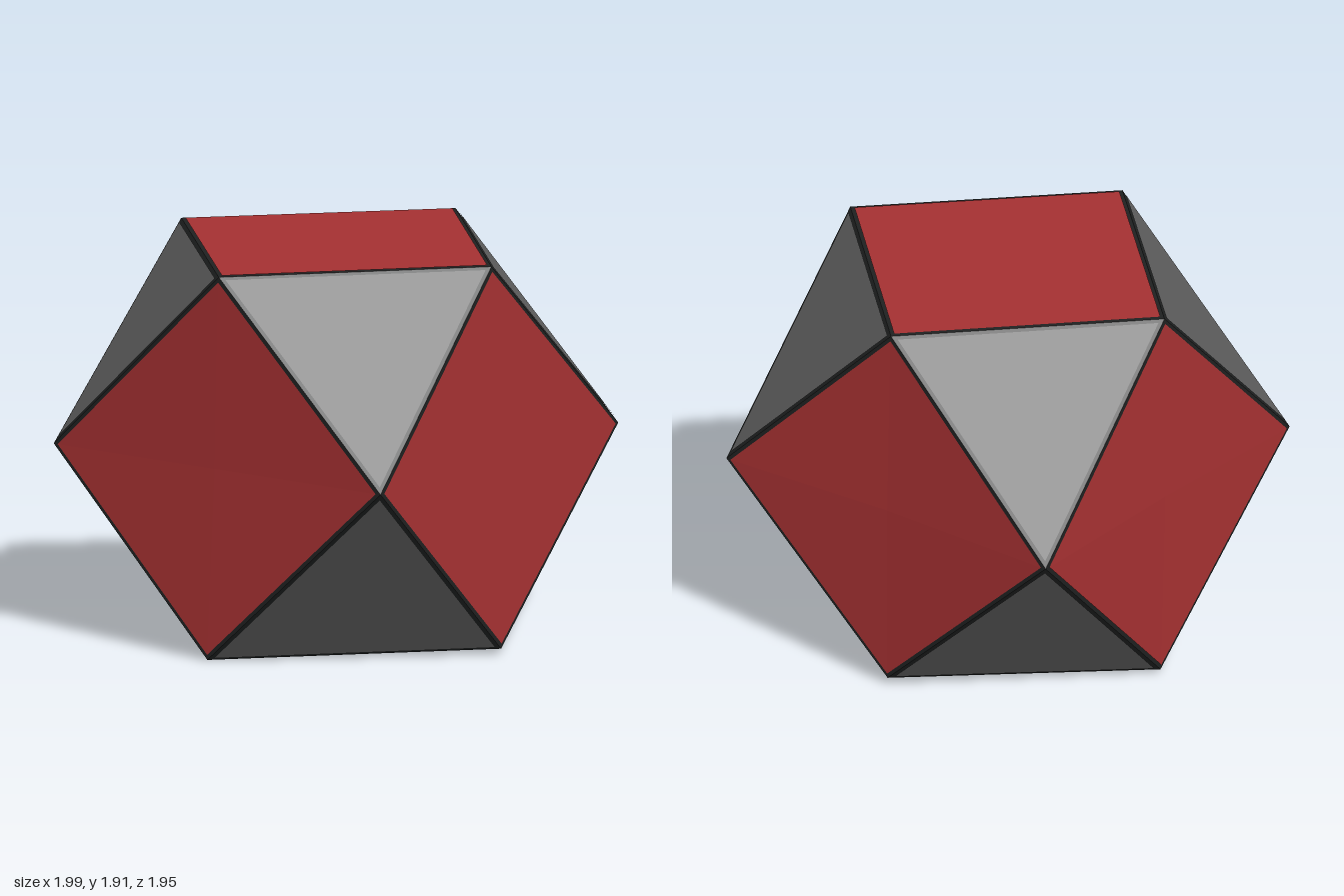
import * as THREE from 'three';

// Slightly irregular cuboctahedron corners, keyed by the signs of x, y, z
const CORNERS = {
  '-1,1,0': [-0.93, 1.9, 0.03], '1,1,0': [0.95, 1.91, 0.03],
  '-1,-1,0': [-0.95, 0.02, -0.03], '1,-1,0': [0.985, 0.03, 0],
  '-1,0,1': [-1, 0.94, 0.945], '1,0,1': [0.98, 0.95, 0.945],
  '-1,0,-1': [-0.93, 0.95, -0.93], '1,0,-1': [0.95, 0.97, -0.97],
  '0,1,1': [0.015, 1.895, 0.965], '0,1,-1': [0.01, 1.91, -0.91],
  '0,-1,1': [-0.05, 0.005, 0.97], '0,-1,-1': [0.03, 0.04, -0.91],
};
const corner = (signs) => new THREE.Vector3(...CORNERS[signs.join(',')]);

// Six four-sided faces, one per axis direction, wound counter-clockwise from outside
function squareFaces() {
  const faces = [];
  for (let axis = 0; axis < 3; axis++) {
    for (const side of [1, -1]) {
      const face = [[1, 0], [0, 1], [-1, 0], [0, -1]].map(([b, c]) => {
        const signs = [0, 0, 0];
        signs[axis] = side;
        signs[(axis + 1) % 3] = b;
        signs[(axis + 2) % 3] = c;
        return corner(signs);
      });
      faces.push(side > 0 ? face : face.reverse());
    }
  }
  return faces;
}

// Eight triangular faces, one per octant
function triangleFaces() {
  const faces = [];
  for (const x of [1, -1]) for (const y of [1, -1]) for (const z of [1, -1]) {
    const face = [corner([x, y, 0]), corner([0, y, z]), corner([x, 0, z])];
    faces.push(x * y * z > 0 ? face : face.reverse());
  }
  return faces;
}

// Fans of triangles around each face centre, shrunk and lifted off the body
function faceGeometry(faces, shrink = 1, lift = 0) {
  const points = [];
  for (const face of faces) {
    const centre = new THREE.Vector3();
    face.forEach((p) => centre.addScaledVector(p, 1 / face.length));
    const normal = new THREE.Vector3();
    face.forEach((p, i) => {
      const next = face[(i + 1) % face.length];
      normal.add(p.clone().sub(centre).cross(next.clone().sub(centre)));
    });
    normal.normalize();
    const place = (p) => centre.clone().lerp(p, shrink).addScaledVector(normal, lift);
    face.forEach((p, i) => points.push(place(centre), place(p), place(face[(i + 1) % face.length])));
  }
  const geometry = new THREE.BufferGeometry().setFromPoints(points);
  geometry.computeVertexNormals();
  return geometry;
}

function material(name, color) {
  const m = new THREE.MeshStandardMaterial({ color });
  m.name = name;
  return m;
}

export function createModel() {
  const model = new THREE.Group();
  model.name = 'cuboctahedronPuzzle';
  const seam = material('seam black', 0x1e2020);
  const red = material('panel red', 0xa43031);
  const grey = material('panel grey', 0x5e5e5e);
  const add = (name, geometry, mat) => {
    const mesh = new THREE.Mesh(geometry, mat);
    mesh.name = name;
    model.add(mesh);
  };

  const squares = squareFaces();
  const triangles = triangleFaces();

  // Dark core that shows as the seams between panels
  add('body', faceGeometry([...squares, ...triangles]), seam);
  // Coloured panels, inset from the edges
  squares.forEach((f, i) => add(`squarePanel${i + 1}`, faceGeometry([f], 0.973, 0.004), red));
  triangles.forEach((f, i) => add(`trianglePanel${i + 1}`, faceGeometry([f], 0.953, 0.004), grey));
  return model;
}
